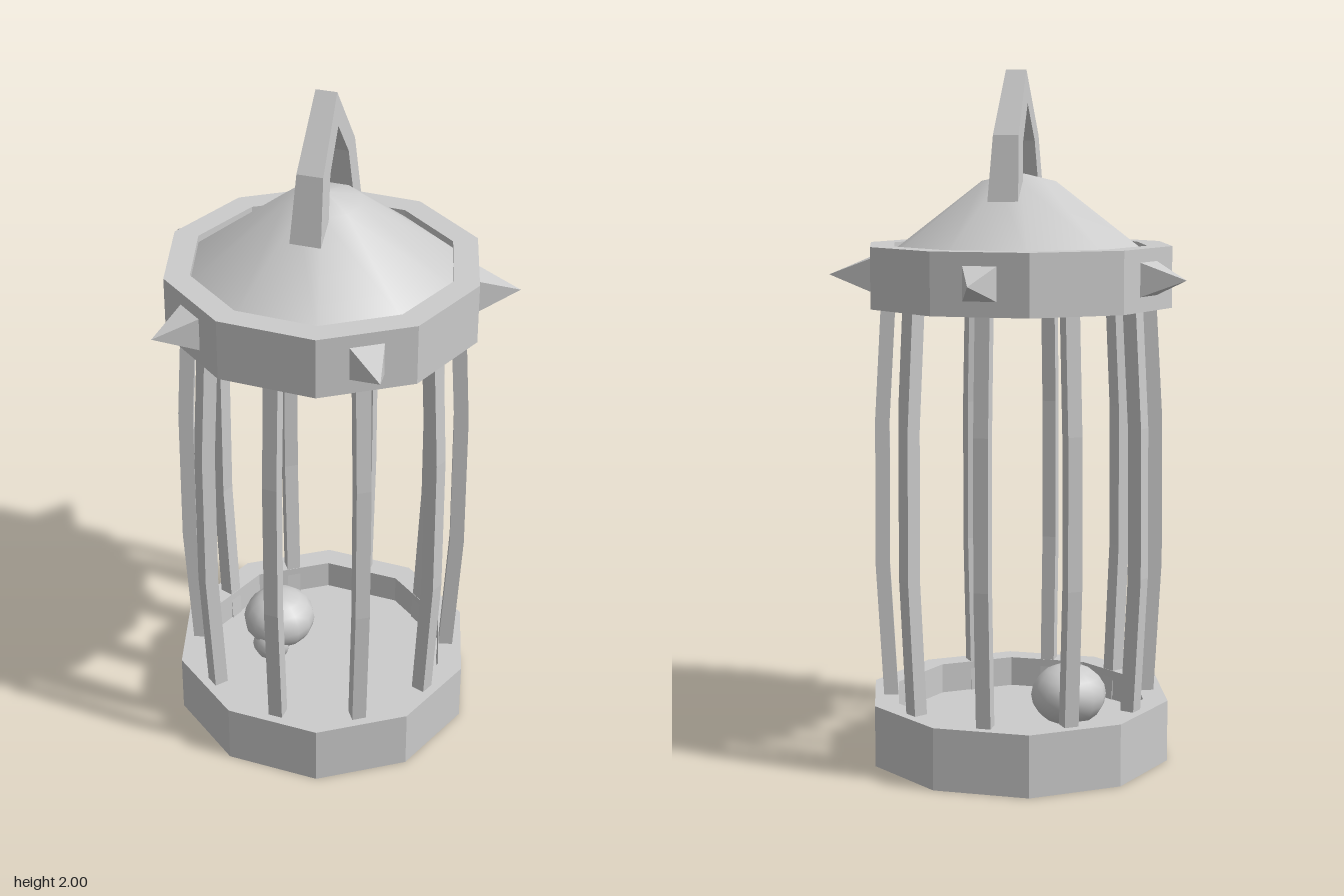
import * as THREE from 'three';

const SIDES = 10;
const STEP = (Math.PI * 2) / SIDES;
const CORNER = THREE.MathUtils.degToRad(-9); // angle of a corner of the rings
const EDGE = CORNER + STEP / 2;              // angle of the middle of a ring edge

const flat = new THREE.MeshStandardMaterial({ color: 0xcccccc, flatShading: true });
const smooth = new THREE.MeshStandardMaterial({ color: 0xcccccc });

function addMesh(parent, name, geometry, material = flat) {
  const mesh = new THREE.Mesh(geometry, material);
  mesh.name = name;
  parent.add(mesh);
  return mesh;
}

// Ten-sided turned part from [radius, y] pairs
function turned(profile) {
  const points = profile.map(([r, y]) => new THREE.Vector2(r, y));
  return new THREE.LatheGeometry(points, SIDES, CORNER);
}

// Bowed bar: a box whose rings follow [y, radius] stations
function barGeometry() {
  const stations = [[0.09, 0.374], [0.57, 0.4], [1.0, 0.397], [1.34, 0.377]];
  const n = stations.length - 1;
  const geo = new THREE.BoxGeometry(0.042, 1, 0.042, 1, n, 1);
  const p = geo.attributes.position;
  for (let i = 0; i < p.count; i++) {
    const [y, r] = stations[Math.round((p.getY(i) + 0.5) * n)];
    p.setY(i, y);
    p.setZ(i, p.getZ(i) + r);
  }
  return geo;
}

// Square pyramid pointing along +z
function spikeGeometry() {
  return new THREE.ConeGeometry(0.052 * Math.SQRT2, 0.13, 4, 1)
    .rotateY(Math.PI / 4)
    .rotateX(Math.PI / 2)
    .translate(0, 1.42, 0.48);
}

// Pointed loop, narrower towards its top
function handleGeometry() {
  const outline = [
    [0.175, 1.63], [0.135, 1.815], [0, 2], [-0.135, 1.815], [-0.175, 1.63],
    [-0.115, 1.63], [-0.078, 1.8], [0, 1.905], [0.078, 1.8], [0.115, 1.63],
  ];
  const shape = new THREE.Shape(outline.map(([u, y]) => new THREE.Vector2(u, y)));
  const geo = new THREE.ExtrudeGeometry(shape, { depth: 1, bevelEnabled: false });
  geo.translate(0, 0, -0.5);
  const p = geo.attributes.position;
  for (let i = 0; i < p.count; i++) {
    const t = (p.getY(i) - 1.63) / 0.37;
    p.setZ(i, p.getZ(i) * THREE.MathUtils.lerp(0.088, 0.06, t));
  }
  return geo.rotateY(-Math.PI / 2);
}

export function createModel() {
  const model = new THREE.Group();
  model.name = 'hangingCage';

  // Everything is arranged around the cage axis
  const cage = new THREE.Group();
  cage.name = 'cage';
  cage.position.set(0.022, 0, 0.032);
  model.add(cage);

  // Base with a sunken floor, and the closed upper ring
  addMesh(cage, 'base', turned([
    [0, 0], [0.448, 0], [0.448, 0.18], [0.375, 0.18], [0.375, 0.09], [0, 0.09],
  ]));
  addMesh(cage, 'upperRing', turned([
    [0, 1.33], [0.448, 1.33], [0.448, 1.505], [0.375, 1.505], [0.375, 1.48],
  ]));

  // Roof
  addMesh(cage, 'roof', turned([[0.375, 1.485], [0.11, 1.685], [0, 1.71]]), smooth);

  // Bars, one at the middle of each edge
  const bar = barGeometry();
  for (let i = 0; i < SIDES; i++) {
    addMesh(cage, 'bar', bar).rotation.y = EDGE + i * STEP;
  }

  // Spikes on every second edge of the upper ring
  const spike = spikeGeometry();
  for (let i = 1; i < SIDES; i += 2) {
    addMesh(cage, 'spike', spike).rotation.y = EDGE + i * STEP;
  }

  // Hanging loop
  const handle = addMesh(cage, 'handle', handleGeometry());
  handle.rotation.y = THREE.MathUtils.degToRad(11);
  handle.position.x = 0.008;

  // Small skull lying on the floor
  const skull = new THREE.Group();
  skull.name = 'skull';
  skull.position.set(-0.162, 0, -0.007);
  cage.add(skull);
  const cranium = addMesh(skull, 'cranium', new THREE.SphereGeometry(1, 14, 10), smooth);
  cranium.scale.set(0.11, 0.09, 0.112);
  cranium.position.y = 0.19;
  const jaw = addMesh(skull, 'jaw', new THREE.SphereGeometry(1, 10, 8), smooth);
  jaw.scale.set(0.06, 0.055, 0.055);
  jaw.position.set(0.01, 0.135, 0.065);

  return model;
}
